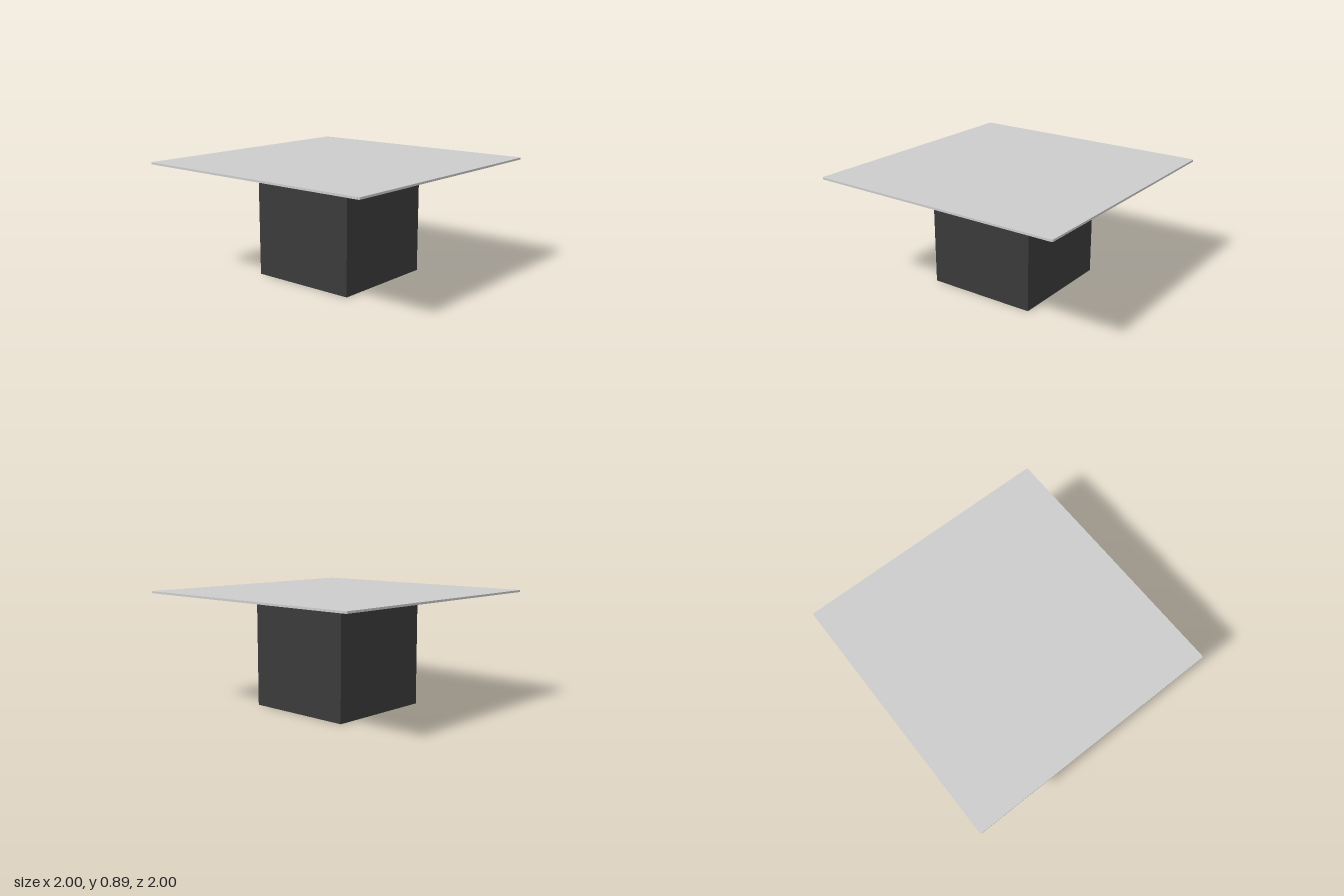
import * as THREE from 'three';

const BASE = 0.87; // edge of the cube base
const TOP = 0.89; // upper face of the table top
const THICK = 0.015;

// Square outline with rounded corners
function roundedSquare(half, r) {
  const shape = new THREE.Shape();
  const c = half - r;
  [[c, c], [-c, c], [-c, -c], [c, -c]].forEach(([x, y], i) => {
    shape.absarc(x, y, r, i * Math.PI / 2, (i + 1) * Math.PI / 2, false);
  });
  shape.closePath();
  return shape;
}

export function createModel() {
  const model = new THREE.Group();
  model.name = 'table';

  // Dark cube pedestal, reaching the underside of the top
  const height = TOP - THICK;
  const base = new THREE.Mesh(
    new THREE.BoxGeometry(BASE, height, BASE),
    new THREE.MeshStandardMaterial({ color: 0x3a3a3a })
  );
  base.name = 'base';
  base.position.y = height / 2;
  model.add(base);

  // Thin square top with slightly rounded corners
  const topGeometry = new THREE.ExtrudeGeometry(roundedSquare(1, 0.015), {
    depth: THICK, bevelEnabled: false, curveSegments: 6,
  });
  topGeometry.rotateX(-Math.PI / 2);
  const top = new THREE.Mesh(topGeometry, new THREE.MeshStandardMaterial({ color: 0xcccccc }));
  top.name = 'tableTop';
  top.position.y = height;
  model.add(top);

  return model;
}
